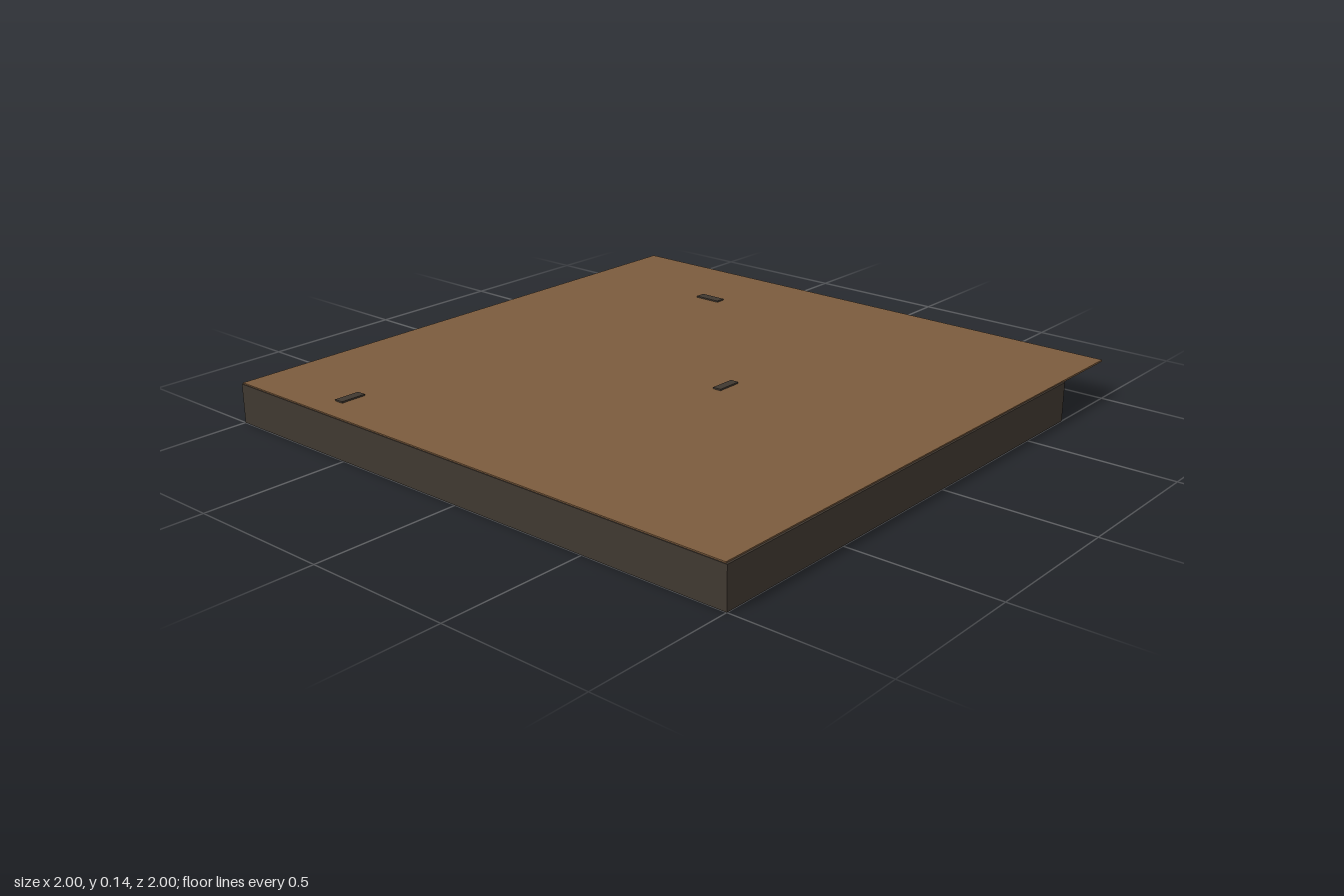
import * as THREE from 'three';

const material = (name, color) => {
  const m = new THREE.MeshStandardMaterial({ color });
  m.name = name;
  return m;
};

export function createModel() {
  const brown = material('roofBrown', 0x7b5b3d);
  const grey = material('wallGrey', 0x403830);
  const red = material('floorRed', 0x5f2430);
  const model = new THREE.Group();
  const WALL_TOP = 0.133;
  const T = 0.024;

  const addBox = (parent, name, mat, x0, x1, y0, y1, z0, z1) => {
    const mesh = new THREE.Mesh(new THREE.BoxGeometry(x1 - x0, y1 - y0, z1 - z0), mat);
    mesh.position.set((x0 + x1) / 2, (y0 + y1) / 2, (z0 + z1) / 2);
    mesh.name = name;
    parent.add(mesh);
  };

  // Walls along the centre line of an axis-aligned path of [x, z] points
  const addWalls = (parent, name, path, closed = false) => {
    const count = closed ? path.length : path.length - 1;
    for (let i = 0; i < count; i++) {
      const [ax, az] = path[i];
      const [bx, bz] = path[(i + 1) % path.length];
      addBox(parent, name, grey,
        Math.min(ax, bx) - T / 2, Math.max(ax, bx) + T / 2, 0, WALL_TOP,
        Math.min(az, bz) - T / 2, Math.max(az, bz) + T / 2);
    }
  };

  // Outer walls, stepping in at the two left corners
  const outline = [
    [-0.988, -0.988], [0.68, -0.988], [0.68, -0.835], [0.86, -0.835], [0.86, -0.598],
    [0.988, -0.598], [0.988, 0.75], [0.712, 0.75], [0.712, 0.988], [-0.988, 0.988],
  ];
  const outer = new THREE.Group();
  outer.name = 'outerWalls';
  addWalls(outer, 'outerWall', outline, true);
  model.add(outer);

  // Partition walls
  const partitions = [
    [[0.685, -0.5], [0.685, -0.555], [0.477, -0.555], [0.477, -0.78], [0.235, -0.78],
      [0.235, -0.318], [0.685, -0.318], [0.685, -0.38]],
    [[0.65, -0.11], [0.65, 0.27], [0.39, 0.27]],
    [[0.81, 0.507], [0.5, 0.507]],
    [[0.04, 0.2], [0.23, 0.2], [0.23, -0.095], [-0.27, -0.095], [-0.27, 0.2], [-0.07, 0.2]],
    [[0.008, -0.71], [0.008, -0.475], [-0.295, -0.475], [-0.295, -0.71]],
    [[-0.55, -0.985], [-0.55, -0.625], [-0.81, -0.625]],
    [[-0.92, -0.625], [-0.985, -0.625]],
    [[-0.44, -0.34], [-0.73, -0.34]],
    [[-0.476, -0.1], [-0.476, 0.443], [-0.693, 0.443], [-0.693, 0.755]],
  ];
  const inner = new THREE.Group();
  inner.name = 'partitionWalls';
  partitions.forEach((path) => addWalls(inner, 'partitionWall', path));
  model.add(inner);

  // Walled stairwell, open below
  const well = [[-0.21, 0.56], [0.22, 0.56], [0.22, 0.79], [-0.21, 0.79]];
  const wellGroup = new THREE.Group();
  wellGroup.name = 'stairwell';
  addWalls(wellGroup, 'stairwellWall', well, true);
  model.add(wellGroup);

  // Floor slab with the stairwell opening
  const toVectors = (points) => points.map(([x, z]) => new THREE.Vector2(x, -z));
  const floorShape = new THREE.Shape(toVectors(outline));
  floorShape.holes.push(new THREE.Path(toVectors(well)));
  const floorGeometry = new THREE.ExtrudeGeometry(floorShape, { depth: 0.008, bevelEnabled: false });
  floorGeometry.rotateX(-Math.PI / 2).translate(0, 0.004, 0);
  const floor = new THREE.Mesh(floorGeometry, red);
  floor.name = 'floor';
  model.add(floor);

  // Flat roof, overhanging the notched corners
  addBox(model, 'roof', brown, -0.997, 0.993, 0.131, 0.137, -0.997, 0.993);

  // Doors, slightly taller than the roof
  addBox(model, 'door', grey, -0.91, -0.82, 0.004, 0.142, -0.64, -0.607);
  addBox(model, 'door', grey, 0.662, 0.698, 0.004, 0.142, -0.49, -0.392);
  addBox(model, 'door', grey, -0.063, 0.027, 0.004, 0.142, 0.184, 0.214);

  return model;
}
